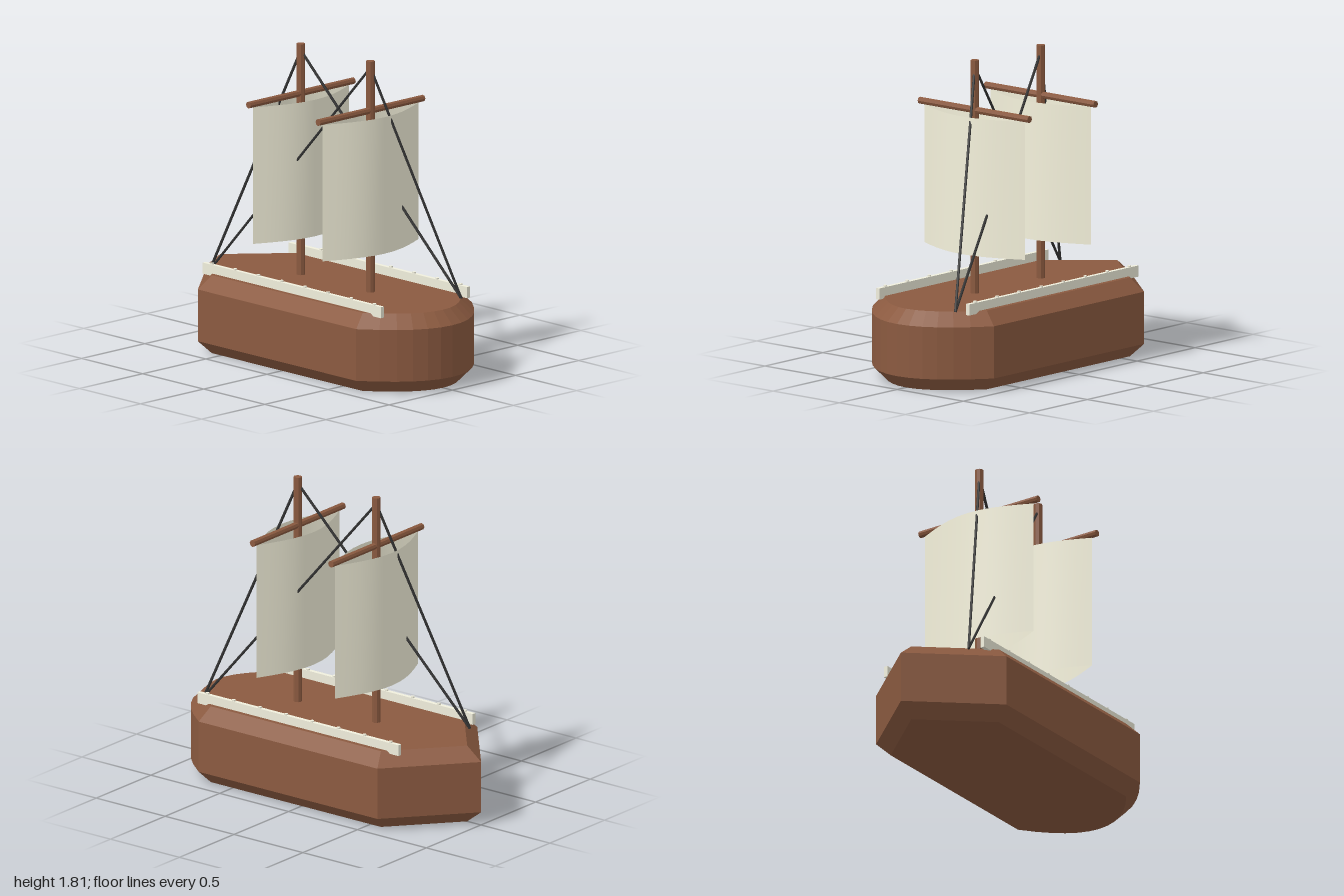
import * as THREE from 'three';

const mat = (color, extra = {}) => new THREE.MeshStandardMaterial({ color, ...extra });
const wood = mat(0x8b5a40, { flatShading: true });
const cloth = mat(0xf5f2dc, { side: THREE.DoubleSide });
const railPaint = mat(0xf0eedc, { flatShading: true });
const ropeMat = mat(0x333333);

const DECK = 0.457;
const MASTS = [-0.24, 0.33];

function add(parent, name, geometry, material, x = 0, y = 0, z = 0) {
  const mesh = new THREE.Mesh(geometry, material);
  mesh.name = name;
  mesh.position.set(x, y, z);
  parent.add(mesh);
  return mesh;
}

// Cylinder stretched between two points
function rod(parent, name, a, b, radius, sides, material) {
  const dir = b.clone().sub(a);
  const mesh = add(parent, name, new THREE.CylinderGeometry(radius, radius, dir.length(), sides), material);
  mesh.position.copy(a).add(b).multiplyScalar(0.5);
  mesh.quaternion.setFromUnitVectors(new THREE.Vector3(0, 1, 0), dir.normalize());
}

// Pointed at -x, rounded at +x, chamfered at deck and keel
function hullGeometry() {
  const bevel = 0.077;
  const s = new THREE.Shape();
  s.moveTo(-0.9, 0);
  s.lineTo(-0.575, -0.38);
  s.lineTo(0.66, -0.38);
  s.quadraticCurveTo(1.186, 0, 0.66, 0.38);
  s.lineTo(-0.575, 0.38);
  s.closePath();
  const g = new THREE.ExtrudeGeometry(s, {
    depth: DECK - 2 * bevel, bevelSize: bevel, bevelThickness: bevel, bevelSegments: 1, curveSegments: 12,
  });
  g.rotateX(-Math.PI / 2);
  g.translate(0, bevel, 0);
  return g;
}

// Upright sheet bellied out towards +x or -x
function sailGeometry(side) {
  const width = 0.76;
  const g = new THREE.PlaneGeometry(width, 0.8, 10, 1);
  g.rotateY(side * Math.PI / 2);
  const p = g.attributes.position;
  for (let i = 0; i < p.count; i++) {
    p.setX(i, side * 0.115 * Math.cos(Math.PI * p.getZ(i) / width));
  }
  g.computeVertexNormals();
  return g;
}

export function createModel() {
  const ship = new THREE.Group();
  ship.name = 'sailingShip';
  add(ship, 'hull', hullGeometry(), wood);

  // Masts, yards, double-bellied sails and stays
  const anchors = [new THREE.Vector3(0.8, 0.455, -0.265), new THREE.Vector3(-0.71, 0.445, 0.265)];
  for (const x of MASTS) {
    const rig = new THREE.Group();
    rig.name = 'rig';
    ship.add(rig);
    add(rig, 'mast', new THREE.CylinderGeometry(0.025, 0.025, 1.36, 8), wood, x, 1.13, 0);
    add(rig, 'yard', new THREE.CylinderGeometry(0.02, 0.02, 0.83, 8), wood, x, 1.52, 0).rotation.x = Math.PI / 2;
    for (const side of [1, -1]) add(rig, 'sail', sailGeometry(side), cloth, x, 1.1, 0);
    for (const end of anchors) rod(rig, 'stay', new THREE.Vector3(x, 1.77, 0), end, 0.008, 6, ropeMat);
  }

  // Side rails with a row of pegs
  for (const side of [1, -1]) {
    const rail = new THREE.Group();
    rail.name = 'rail';
    ship.add(rail);
    add(rail, 'railBoard', new THREE.BoxGeometry(1.46, 0.065, 0.025), railPaint, 0.05, 0.475, side * 0.34);
    for (let i = 0; i < 8; i++) {
      add(rail, 'railPeg', new THREE.CylinderGeometry(0.011, 0.011, 0.07, 8), railPaint,
        -0.615 + i * 0.19, 0.481, side * 0.34);
    }
  }
  return ship;
}
